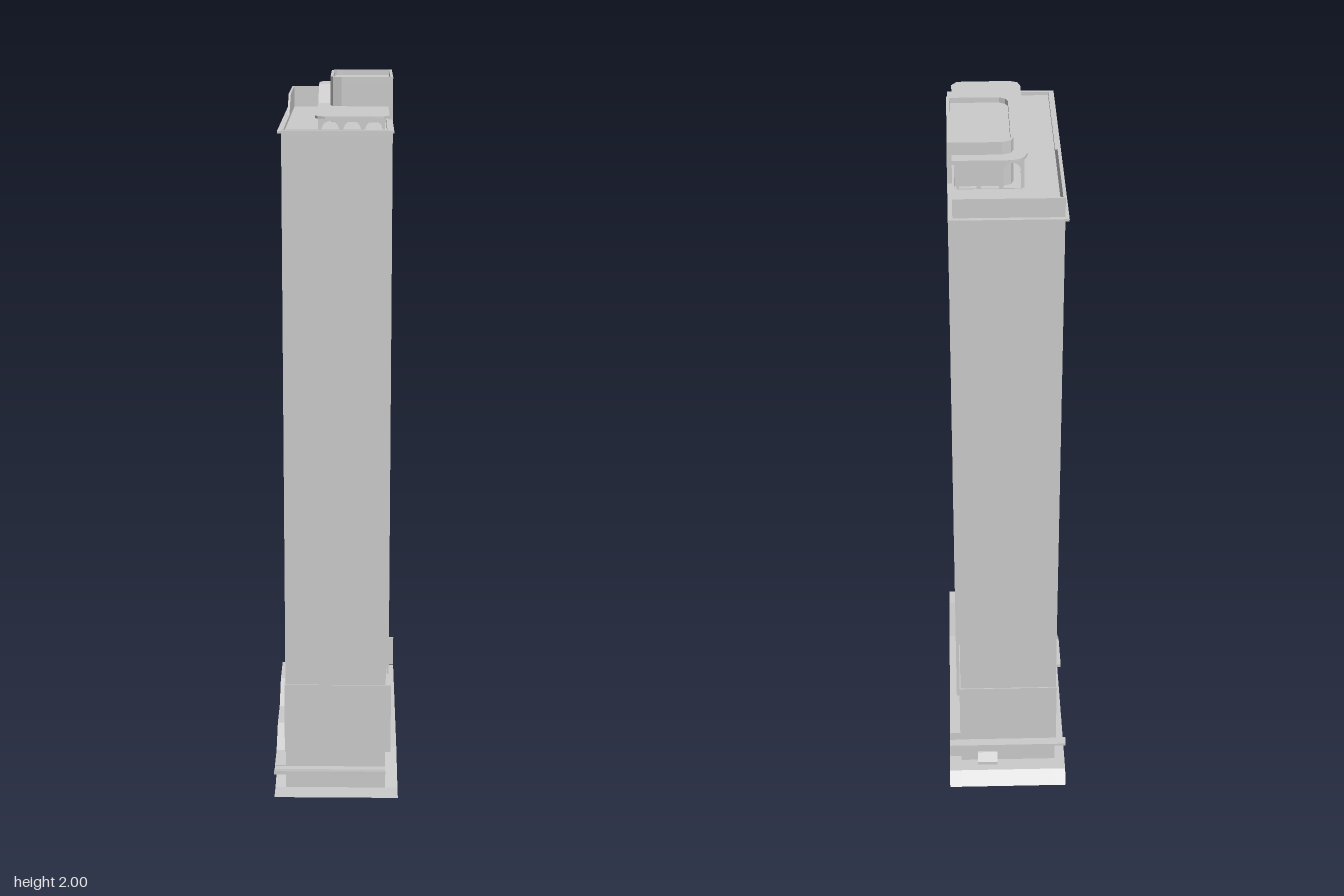
import * as THREE from 'three';

const mat = new THREE.MeshStandardMaterial({ color: 0xcccccc, flatShading: true, side: THREE.DoubleSide });

export function createModel() {
  const model = new THREE.Group();
  const add = (name, geo) => {
    const m = new THREE.Mesh(geo, mat);
    m.name = name;
    model.add(m);
    return m;
  };
  // Box given by its limits
  const box = (name, x0, x1, y0, y1, z0, z1) => add(name,
    new THREE.BoxGeometry(x1 - x0, y1 - y0, z1 - z0).translate((x0 + x1) / 2, (y0 + y1) / 2, (z0 + z1) / 2));
  const toShape = pts => new THREE.Shape(pts.map(p => new THREE.Vector2(p[0], p[1])));
  // Side profile of [z, y] points carried across from x0 to x1
  const across = (name, shape, x0, x1) => add(name,
    new THREE.ExtrudeGeometry(shape, { depth: x1 - x0, bevelEnabled: false, curveSegments: 8 })
      .rotateY(-Math.PI / 2).translate(x1, 0, 0));
  // Plan outline of [x, z] points raised from y0 to y1
  const raise = (name, shape, y0, y1) => add(name,
    new THREE.ExtrudeGeometry(shape, { depth: y1 - y0, bevelEnabled: false })
      .rotateX(Math.PI / 2).translate(0, y1, 0));
  // Bent thin slab following a [z, y] line
  const bentSlab = (name, line, t, x0, x1) =>
    across(name, toShape([...line, ...line.map(([z, y]) => [z, y - t]).reverse()]), x0, x1);
  // Open surface through rows of points
  const sheet = (name, rows) => {
    const v = [];
    for (let i = 0; i < rows.length - 1; i++)
      for (let j = 0; j < rows[i].length - 1; j++) {
        const a = rows[i][j], b = rows[i][j + 1], c = rows[i + 1][j + 1], d = rows[i + 1][j];
        v.push(...a, ...b, ...c, ...a, ...c, ...d);
      }
    const g = new THREE.BufferGeometry();
    g.setAttribute('position', new THREE.Float32BufferAttribute(v, 3));
    g.computeVertexNormals();
    return add(name, g);
  };

  // Main tower: walls open at the bottom, flat roof deck
  const X0 = -0.145, X1 = 0.14, Z0 = -0.39, Z1 = 0.41, ROOF = 1.88;
  const ring = y => [[X0, y, Z1], [X1, y, Z1], [X1, y, Z0], [X0, y, Z0], [X0, y, Z1]];
  sheet('towerWalls', [ring(ROOF), ring(0)]);
  sheet('roofDeck', [[[X0, 1.876, Z0], [X1, 1.876, Z0]], [[X0, 1.876, Z1], [X1, 1.876, Z1]]]);

  // Lower cladding band and its front corner return
  const e = 0.003;
  box('bandFront', X0 - e, 0.155, 0.115, 0.32, Z1 - 0.005, Z1 + e);
  box('bandBack', X0 - e, X1 + e, 0.115, 0.32, Z0 - e, Z0 + 0.005);
  box('bandLeft', X0 - e, X0 + 0.005, 0.115, 0.32, Z0 - e, Z1 + e);
  box('bandRight', X1 - 0.005, X1 + e, 0.115, 0.32, Z0 - e, Z1 - 0.08);
  box('bandCorner', X1 - 0.005, 0.155, 0.115, 0.32, 0.33, Z1 + e);

  // Cornice ring below the parapet
  const cornice = toShape([[-0.155, -0.402], [0.152, -0.402], [0.152, 0.42], [-0.155, 0.42]]);
  cornice.holes.push(new THREE.Path([[X0, Z0], [X0, Z1], [X1, Z1], [X1, Z0]].map(p => new THREE.Vector2(...p))));
  raise('cornice', cornice, ROOF - 0.003, ROOF + 0.004);

  // Parapet: high at the back, sloping down to a low front
  const HIGH = 1.937, LOW = 1.886, t = 0.006;
  across('parapetSide', toShape([[Z0, 1.87], [Z1, 1.87], [Z1, LOW], [0.01, LOW], [-0.1, HIGH], [Z0, HIGH]]), X0, X0 + t);
  box('parapetBack', X0, X1, 1.87, HIGH, Z0, Z0 + t);
  box('parapetBackReturn', X1 - t, X1, 1.87, HIGH, Z0, -0.19);
  box('parapetFront', X0, X1, 1.87, LOW, Z1 - t, Z1);
  box('parapetFrontReturn', X1 - t, X1, 1.87, LOW, 0.11, Z1);

  // Lift shaft with a shallow rim around its roof
  const shaftPlan = i => toShape([[0.153 - i, -0.19 + i], [0.153 - i, 0.108 - i], [0.01, 0.108 - i],
    [-0.014 + i, 0.098 - i], [-0.021 + i, 0.075], [-0.021 + i, -0.16], [-0.014 + i, -0.18 + i], [0.01, -0.19 + i]]);
  raise('shaft', shaftPlan(0), 0.115, 1.985);
  const rim = shaftPlan(0);
  rim.holes.push(shaftPlan(0.008));
  raise('shaftRim', rim, 1.985, 2);

  // Rooftop canopy: upper level, ramp, lower level
  const upper = new THREE.Shape();
  upper.moveTo(0.14, -0.09);
  upper.lineTo(-0.057, -0.09);
  upper.lineTo(-0.057, -0.168);
  upper.quadraticCurveTo(-0.057, -0.225, 0, -0.225);
  upper.lineTo(0.14, -0.225);
  raise('upperCanopy', upper, 1.958, 1.965);
  bentSlab('canopyRamp', [[-0.09, 1.965], [0, 1.92]], 0.007, -0.057, -0.015);
  raise('lowerCanopy', toShape([[-0.057, 0], [0.14, 0], [0.14, 0.38], [0.125, 0.402], [0.1, 0.405],
    [-0.03, 0.405], [-0.05, 0.395], [-0.057, 0.37]]), 1.913, 1.92);

  // Arcade walls under the canopy, running from a to b with n arches
  const arcade = (a, b, n, ha, hb) => {
    const s = toShape([[a, 1.876], [b, 1.876], [b, 1.876 + hb], [a, 1.876 + ha]]);
    const step = (b - a) / n, r = step * 0.4;
    for (let i = 0; i < n; i++) {
      const c = a + step * (i + 0.5), h = Math.min(ha, hb) - 0.008, ry = Math.min(r, h - 0.004);
      const p = new THREE.Path();
      p.moveTo(c - r, 1.878);
      p.lineTo(c - r, 1.876 + h - ry);
      p.absellipse(c, 1.876 + h - ry, r, ry, Math.PI, 0, true);
      p.lineTo(c + r, 1.878);
      s.holes.push(p);
    }
    return s;
  };
  across('arcadeSideLow', arcade(0, 0.385, 6, 0.038, 0.038), -0.048, -0.042);
  across('arcadeSideRamp', arcade(-0.09, 0, 1, 0.082, 0.038), -0.048, -0.042);
  across('arcadeSideHigh', arcade(-0.2, -0.09, 2, 0.082, 0.082), -0.048, -0.042);
  across('arcadeRight', arcade(0.11, 0.385, 4, 0.038, 0.038), 0.122, 0.128);
  const cross = (name, n, h, z) => {
    const g = new THREE.ExtrudeGeometry(arcade(-0.045, 0.128, n, h, h), { depth: 0.006, bevelEnabled: false, curveSegments: 8 });
    add(name, g.translate(0, 0, z));
  };
  cross('arcadeFront', 3, 0.038, 0.38);
  cross('arcadeBack', 3, 0.082, -0.208);

  // Street canopies: stepped along one side, then wrapping the front
  bentSlab('sideCanopy', [[-0.115, 0.17], [0.01, 0.17], [0.1, 0.117], [0.22, 0.117], [0.31, 0.07], [0.41, 0.07]],
    0.01, -0.177, X0);
  bentSlab('frontCanopy', [[0.405, 0.068], [0.43, 0.068], [0.457, 0.074]], 0.01, -0.177, X1);
  box('backCanopy', -0.177, 0.175, 0.111, 0.118, -0.42, Z0);
  box('backCanopyUpstand', X1, 0.175, 0.05, 0.145, Z0 - 0.004, Z0);

  // Back entrance hood
  across('backEntrance', toShape([[Z0, 0.02], [Z0, 0.065], [-0.395, 0.065], [-0.412, 0.04], [-0.412, 0.02]]), 0.03, 0.09);

  // Sloping pavement ring around the tower with outer skirts
  const W = 0.176;
  const grade = [[0.475, 0.002], [Z1, 0.002], [0.2, 0.03], [Z0, 0.03], [-0.435, 0.03], [-0.475, 0]];
  const strip = (name, x0, x1, pts) => sheet(name, pts.map(([z, y]) => [[x0, y, z], [x1, y, z]]));
  strip('pavementLeft', -W, X0, grade);
  strip('pavementRight', X1, W, grade);
  strip('pavementFront', X0, X1, grade.slice(0, 2));
  strip('pavementBack', X0, X1, grade.slice(3));
  for (const x of [-W, W]) sheet('pavementSkirt', grade.map(([z, y]) => [[x, y, z], [x, 0, z]]));

  return model;
}
